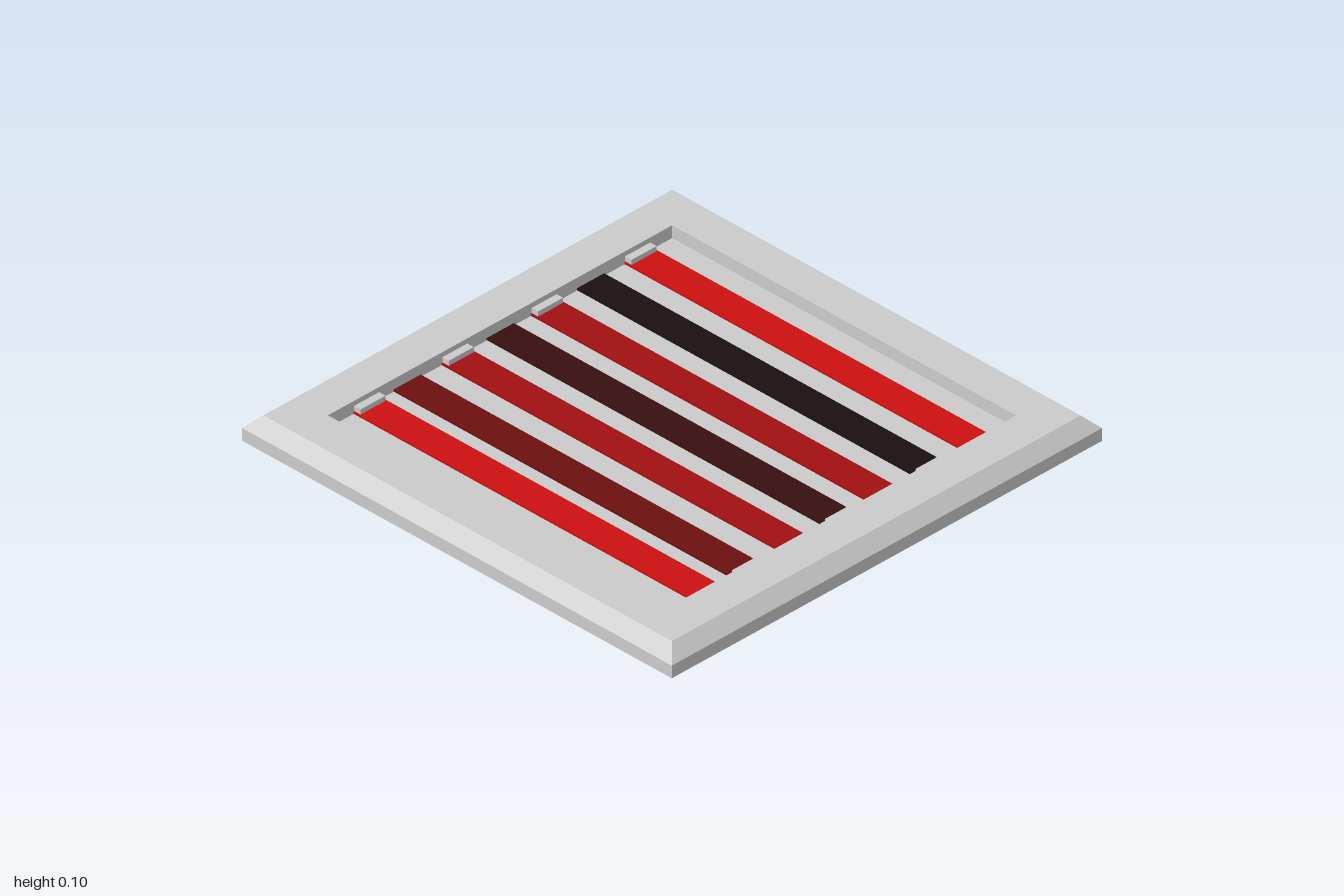
import * as THREE from 'three';

export function createModel() {
  const group = new THREE.Group();
  group.name = 'slattedTray';
  const grey = new THREE.MeshStandardMaterial({ color: 0xcccccc, flatShading: true, side: THREE.DoubleSide });

  const addBox = (name, x0, x1, y0, y1, z, depth, material) => {
    const mesh = new THREE.Mesh(new THREE.BoxGeometry(x1 - x0, y1 - y0, depth), material);
    mesh.position.set((x0 + x1) / 2, (y0 + y1) / 2, z);
    mesh.name = name;
    group.add(mesh);
  };

  // Thin square shell: outer wall, bevel, flat rim, recess wall and recessed floor
  const profile = [[1, 0], [1, 0.05], [0.95, 0.1], [0.8, 0.1], [0.8, 0.05], [0, 0.05]]
    .map(([half, y]) => new THREE.Vector2(half * Math.SQRT2, y));
  const shell = new THREE.LatheGeometry(profile, 4, Math.PI / 4).toNonIndexed();
  shell.computeVertexNormals();
  const frame = new THREE.Mesh(shell, grey);
  frame.name = 'frameAndFloor';
  group.add(frame);

  // Coloured slats, each held by a clip at alternating ends
  const slats = [
    [-0.64, 0xcc1010], [-0.42, 0x1c1010], [-0.205, 0xa21012], [0, 0x381010],
    [0.21, 0xa21012], [0.433, 0x6c1010], [0.62, 0xcc1012],
  ];
  slats.forEach(([z, color], i) => {
    addBox('slat', -0.799, 0.78, 0.052, 0.06, z, 0.126, new THREE.MeshStandardMaterial({ color }));
    // Clip passing slightly through the recess wall
    const [x0, x1] = i % 2 ? [0.77, 0.81] : [-0.81, -0.77];
    addBox('clip', x0, x1, 0.055, 0.08, z, 0.116, grey);
  });

  return group;
}
